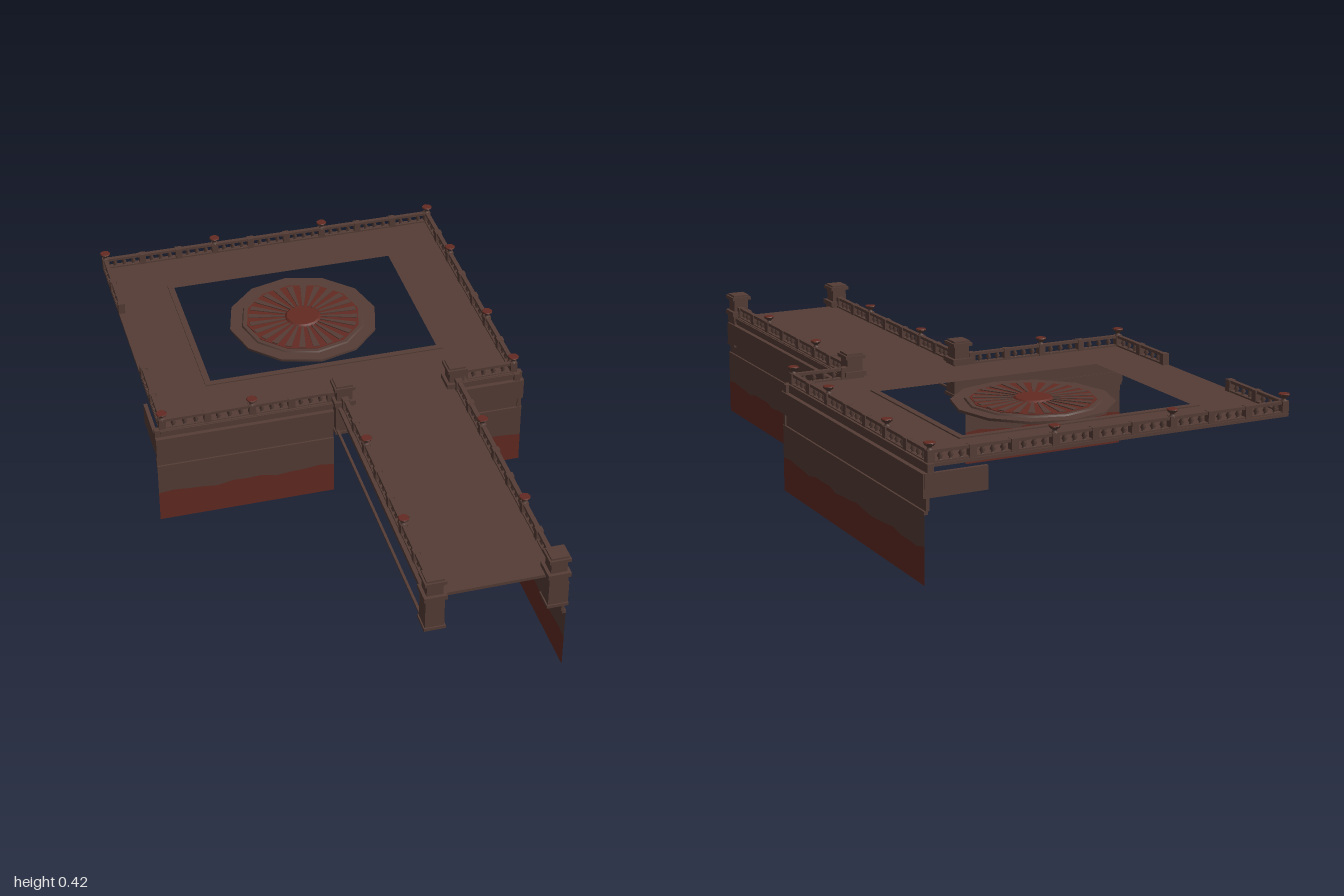
import * as THREE from 'three';

const mat = (name, color, side = THREE.FrontSide) => {
  const m = new THREE.MeshStandardMaterial({ color, side });
  m.name = name;
  return m;
};

export function createModel() {
  const stone = mat('brown stone', 0x553d36);
  const stoneSheet = mat('brown stone sheet', 0x553d36, THREE.DoubleSide);
  const redSheet = mat('red stone sheet', 0x632a22, THREE.DoubleSide);
  const red = mat('red stone', 0x632a22);
  const model = new THREE.Group();

  const add = (parent, name, geometry, material, x = 0, y = 0, z = 0) => {
    const m = new THREE.Mesh(geometry, material);
    m.name = name;
    m.position.set(x, y, z);
    parent.add(m);
    return m;
  };
  const box = (parent, name, w, y0, y1, d, x, z, material = stone) =>
    add(parent, name, new THREE.BoxGeometry(w, y1 - y0, d), material, x, (y0 + y1) / 2, z);

  // Group whose local x axis runs from a to b
  const run = (name, [ax, az], [bx, bz]) => {
    const g = new THREE.Group();
    g.name = name;
    g.position.set(ax, 0, az);
    g.rotation.y = Math.atan2(az - bz, bx - ax);
    model.add(g);
    return [g, Math.hypot(bx - ax, bz - az)];
  };

  // Retaining walls: wavy red foot, brown body, recessed band and cornice
  const wall = (a, b) => {
    const [g, len] = run('wall', a, b);
    const n = Math.max(4, Math.round(len / 0.05));
    const wave = [];
    for (let i = 0; i <= n; i++) {
      wave.push(new THREE.Vector2(len * i / n, 0.106 + 0.005 * Math.sin(i * 1.3) + 0.003 * Math.sin(i * 2.9)));
    }
    const foot = [new THREE.Vector2(len, 0), new THREE.Vector2(0, 0), ...wave];
    const body = [new THREE.Vector2(len, 0.205), new THREE.Vector2(0, 0.205), ...wave];
    add(g, 'wallFoot', new THREE.ShapeGeometry(new THREE.Shape(foot)), redSheet);
    add(g, 'wallBody', new THREE.ShapeGeometry(new THREE.Shape(body)), stoneSheet);
    box(g, 'wallLedge', len, 0.203, 0.213, 0.012, len / 2, -0.005);
    box(g, 'wallBand', len, 0.213, 0.25, 0.01, len / 2, -0.01);
    box(g, 'wallCornice', len, 0.25, 0.32, 0.016, len / 2, -0.004);
    box(g, 'wallCoping', len, 0.32, 0.345, 0.02, len / 2, -0.02);
  };
  wall([-0.607, 0.006], [-0.03, 0.006]);
  wall([0.407, 0.006], [0.605, 0.006]);
  wall([0.605, 0.006], [0.605, -0.995]);
  wall([0.405, 0.985], [0.405, 0.006]);

  // Short cornice returns round the open corners
  const cornice = (a, b) => {
    const [g, len] = run('corniceReturn', a, b);
    box(g, 'returnCornice', len, 0.25, 0.32, 0.012, len / 2, -0.004);
  };
  cornice([0.605, -0.995], [0.41, -0.995]);
  cornice([-0.605, -0.19], [-0.605, 0.01]);

  // Square deck with a rectangular opening
  const rect = (P, x0, z0, x1, z1) => {
    const p = new P();
    p.moveTo(x0, -z0).lineTo(x1, -z0).lineTo(x1, -z1).lineTo(x0, -z1).closePath();
    return p;
  };
  const slab = (name, outer, inner, y, depth) => {
    const s = rect(THREE.Shape, ...outer);
    if (inner) s.holes.push(rect(THREE.Path, ...inner));
    const geo = new THREE.ExtrudeGeometry(s, { depth, bevelEnabled: false });
    geo.rotateX(-Math.PI / 2);
    add(model, name, geo, stone, 0, y, 0);
  };
  slab('deck', [-0.59, -0.985, 0.595, 0], [-0.39, -0.79, 0.39, -0.21], 0.333, 0.01);
  slab('openingFrame', [-0.4, -0.8, 0.4, -0.2], [-0.38, -0.78, 0.38, -0.22], 0.33, 0.017);
  slab('walkway', [-0.02, 0, 0.4, 0.96], null, 0.333, 0.01);

  // Slender trims under the open side of the walkway
  box(model, 'walkwayTrim', 0.008, 0.25, 0.256, 0.93, -0.022, 0.48);
  box(model, 'walkwayTrim', 0.008, 0.25, 0.256, 0.93, 0.012, 0.48);

  // Twelve-sided medallion in the opening
  const medal = new THREE.Group();
  medal.name = 'medallion';
  medal.position.set(0, 0.335, -0.5);
  model.add(medal);
  const disc = (name, r0, r1, h, y, sides, material) =>
    add(medal, name, new THREE.CylinderGeometry(r0, r1, h, sides).toNonIndexed(), material, 0, y, 0);
  disc('medallionRing', 0.25, 0.25, 0.008, 0, 12, stone);
  disc('medallionLip', 0.206, 0.21, 0.006, 0.006, 12, stone);
  disc('medallionField', 0.192, 0.192, 0.004, 0.0085, 12, red);
  for (let i = 0; i < 24; i++) {
    const a = i * Math.PI / 12;
    const petal = new THREE.Shape();
    petal.moveTo(0.06, -0.003).lineTo(0.182, -0.011).lineTo(0.182, 0.011).lineTo(0.06, 0.003).closePath();
    const geo = new THREE.ExtrudeGeometry(petal, { depth: 0.003, bevelEnabled: false });
    geo.rotateX(-Math.PI / 2).rotateY(a);
    add(medal, 'medallionRay', geo, stone, 0, 0.01, 0);
  }
  disc('medallionHub', 0.055, 0.065, 0.008, 0.012, 12, red);

  // Balustrades
  const lathe = (pts, sides) => new THREE.LatheGeometry(pts.map(p => new THREE.Vector2(...p)), sides);
  const balusterGeo = lathe([[0.007, 0.347], [0.004, 0.351], [0.009, 0.358], [0.005, 0.366], [0.007, 0.371]], 6);
  const finialGeo = lathe([[0.012, 0.378], [0.006, 0.383], [0.007, 0.388], [0.016, 0.395], [0.018, 0.4]], 8);
  const finialTop = new THREE.CylinderGeometry(0.016, 0.018, 0.003, 8);

  const railing = (a, b, finials) => {
    const [g, len] = run('balustrade', a, b);
    box(g, 'bottomRail', len, 0.342, 0.348, 0.018, len / 2, 0);
    box(g, 'topRail', len, 0.37, 0.379, 0.014, len / 2, 0);
    const stops = [...new Set([0, ...finials, len])].sort((p, q) => p - q);
    const pedestals = [];
    for (let i = 0; i + 1 < stops.length; i++) {
      const parts = Math.max(1, Math.round((stops[i + 1] - stops[i]) / 0.13));
      const step = (stops[i + 1] - stops[i]) / parts;
      for (let k = 0; k < parts; k++) {
        const x0 = stops[i] + k * step;
        pedestals.push(x0);
        const n = Math.max(2, Math.round(step / 0.033));
        for (let j = 1; j < n; j++) add(g, 'baluster', balusterGeo, stoneSheet, x0 + j * step / n);
      }
    }
    pedestals.push(len);
    for (const x of pedestals) box(g, 'pedestal', 0.022, 0.342, 0.38, 0.022, x, 0);
    for (const x of finials) {
      add(g, 'finialCup', finialGeo, stoneSheet, x);
      add(g, 'finialTop', finialTop, red, x, 0.4, 0);
    }
  };
  railing([-0.58, -0.972], [0.578, -0.972], [0, 0.385, 0.77, 1.158]);
  railing([0.578, -0.972], [0.578, -0.02], [0.272, 0.682, 0.952]);
  railing([-0.58, -0.972], [-0.58, -0.69], []);
  railing([-0.58, -0.31], [-0.58, -0.02], []);
  railing([-0.58, -0.02], [-0.035, -0.02], [0, 0.29]);
  railing([0.41, -0.02], [0.578, -0.02], []);
  for (const x of [0.002, 0.378]) railing([x, 0.03], [x, 0.93], [0.24, 0.64]);

  // Walkway corner pillars
  for (const x of [0.002, 0.375]) {
    for (const z of [-0.005, 0.96]) {
      const g = new THREE.Group();
      g.name = 'pillar';
      g.position.set(x, 0, z);
      model.add(g);
      for (const [w, y0, y1] of [
        [0.066, 0.24, 0.25], [0.058, 0.25, 0.35], [0.07, 0.35, 0.365],
        [0.05, 0.365, 0.405], [0.066, 0.405, 0.416], [0.054, 0.416, 0.422],
      ]) box(g, 'pillarBlock', w, y0, y1, w, 0, 0);
    }
  }
  return model;
}
